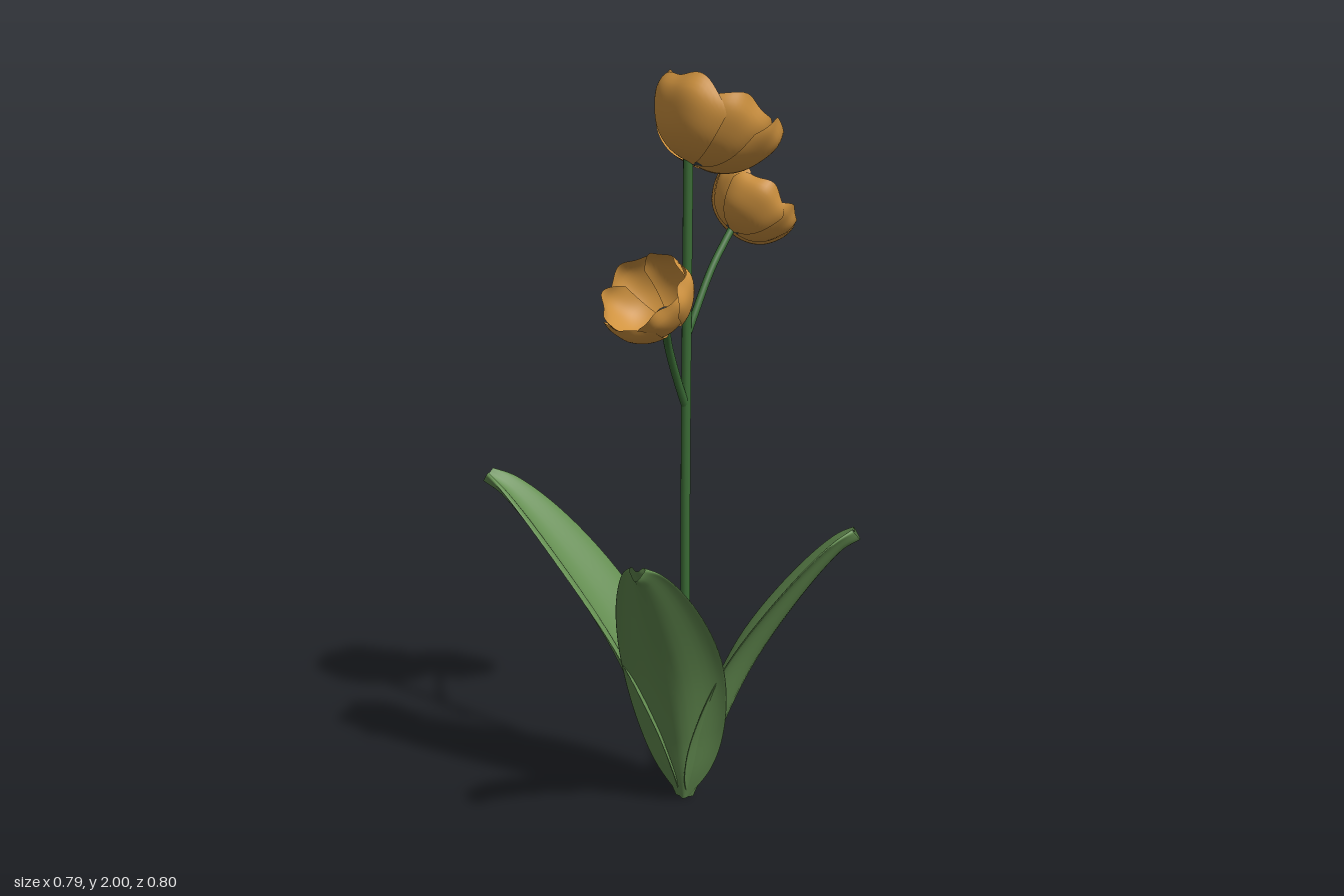
import * as THREE from 'three';
import { ParametricGeometry } from 'three/addons/geometries/ParametricGeometry.js';

const material = (color) => new THREE.MeshStandardMaterial({ color, side: THREE.DoubleSide });
const petalMat = material(0xd0933f);
const leafMat = material(0x658f52);
const stemMat = material(0x3a6b35);
const centreMat = material(0x3f4648);

const vec = (a) => new THREE.Vector3(...a);
const UP = new THREE.Vector3(0, 1, 0);

function addMesh(parent, name, geometry, mat) {
  const mesh = new THREE.Mesh(geometry, mat);
  mesh.name = name;
  parent.add(mesh);
  return mesh;
}

// Bowl profile of the blossom: x = radius, y = height along the axis
const bowl = new THREE.CatmullRomCurve3([
  [0.008, 0, 0], [0.07, 0.01, 0], [0.118, 0.04, 0], [0.152, 0.088, 0], [0.17, 0.14, 0], [0.162, 0.198, 0],
].map(vec));

// One petal: a patch of the bowl with a rounded, ruffled rim
function petalGeometry(outer, phase) {
  const p = new THREE.Vector3();
  return new ParametricGeometry((u, v, target) => {
    const s = u * 2 - 1;
    const length = 0.96 - 0.22 * s ** 4 + 0.03 * Math.sin(6 * s + phase);
    const t = v * length;
    bowl.getPoint(t, p);
    const ruffle = 1 + 0.045 * t ** 3 * Math.sin(6 * s + phase * 1.7);
    const bulge = 1 - 0.07 * s * s * t;
    const r = p.x * ruffle * bulge * (outer ? 1.05 : 0.98);
    const angle = s * 0.76;
    target.set(r * Math.sin(angle), p.y - (outer ? 0.004 : 0), r * Math.cos(angle));
  }, 24, 20);
}

// Blossom: three inner and three outer petals around a dark centre
function addFlower(parent, name, base, axis, size, turn) {
  const flower = new THREE.Group();
  flower.name = name;
  flower.position.copy(vec(base));
  flower.quaternion.setFromUnitVectors(UP, vec(axis).normalize());
  flower.scale.setScalar(size);
  for (let i = 0; i < 6; i++) {
    const outer = i % 2 === 0;
    const petal = addMesh(flower, outer ? 'outerPetal' : 'innerPetal', petalGeometry(outer, i * 1.9 + turn), petalMat);
    petal.rotation.y = turn + i * Math.PI / 3;
  }
  const centre = addMesh(flower, 'flowerCentre', new THREE.SphereGeometry(0.041, 24, 16), centreMat);
  centre.position.y = 0.02;
  centre.scale.y = 0.6;
  parent.add(flower);
}

// Leaf spine: outward distance, height and half width
const spine = new THREE.CatmullRomCurve3([
  [0.015, 0.005, 0.014], [0.038, 0.1, 0.078], [0.082, 0.24, 0.122], [0.185, 0.462, 0.142],
  [0.345, 0.69, 0.112], [0.485, 0.845, 0.056], [0.545, 0.885, 0.02],
].map(vec));

// Leaf: a thin blade swept along the spine, a channel in the middle and flatter edges
function leafGeometry(reach, height, twist) {
  const p = new THREE.Vector3(), q = new THREE.Vector3();
  return new ParametricGeometry((u, v, target) => {
    spine.getPoint(v, p);
    spine.getTangent(v, q);
    const tx = q.x * reach, ty = q.y * height, len = Math.hypot(tx, ty);
    const a = u * Math.PI * 2;
    const s = Math.cos(a), w = p.z;
    const channel = Math.sin(s * Math.PI / 2) ** 2 - 0.45;
    const cup = w * ((0.55 - 0.27 * v + 0.6 * v ** 8) * channel + twist * v * s);
    const lift = cup + (0.007 + 0.006 * v ** 8) * Math.sin(a);
    target.set(p.x * reach - lift * ty / len, p.y * height + lift * tx / len, w * s);
  }, 40, 40);
}

function addStem(parent, name, points, radius) {
  const curve = new THREE.CatmullRomCurve3(points.map(vec));
  addMesh(parent, name, new THREE.TubeGeometry(curve, 24, radius, 10), stemMat);
}

export function createModel() {
  const plant = new THREE.Group();
  plant.name = 'floweringPlant';

  // Main stem and two side branches
  addStem(plant, 'mainStem', [[0.045, 0.02, -0.03], [0.045, 0.9, -0.03], [0.048, 1.775, -0.035]], 0.0135);
  addStem(plant, 'backBranch', [[0.045, 1.29, -0.03], [0.042, 1.36, -0.065], [0.025, 1.47, -0.135], [0, 1.575, -0.23]], 0.0105);
  addStem(plant, 'frontBranch', [[0.045, 1.11, -0.03], [0.058, 1.19, 0.01], [0.09, 1.29, 0.065], [0.14, 1.375, 0.117]], 0.0115);

  // Blossoms
  addFlower(plant, 'topFlower', [0.058, 1.758, -0.043], [0.08, 0.88, -0.47], 1.01, 0.3);
  addFlower(plant, 'backFlower', [0.006, 1.565, -0.222], [0.14, 0.72, -0.68], 0.73, 0.9);
  addFlower(plant, 'frontFlower', [0.144, 1.37, 0.112], [0.12, 0.66, 0.74], 0.72, 0.1);

  // Three leaves around the foot: outward direction (x, z), reach, height and twist
  const leaves = [
    [-0.435, 0.36, 1.02, 1.01, 0.25],
    [0.325, 0.42, 0.96, 0.89, 0],
    [0.345, -0.31, 0.85, 0.88, 0],
  ];
  for (const [dx, dz, reach, height, twist] of leaves) {
    const leaf = addMesh(plant, 'leaf', leafGeometry(reach, height, twist), leafMat);
    leaf.position.set(0.045, 0, -0.03);
    leaf.rotation.y = Math.atan2(-dz, dx);
  }
  return plant;
}
